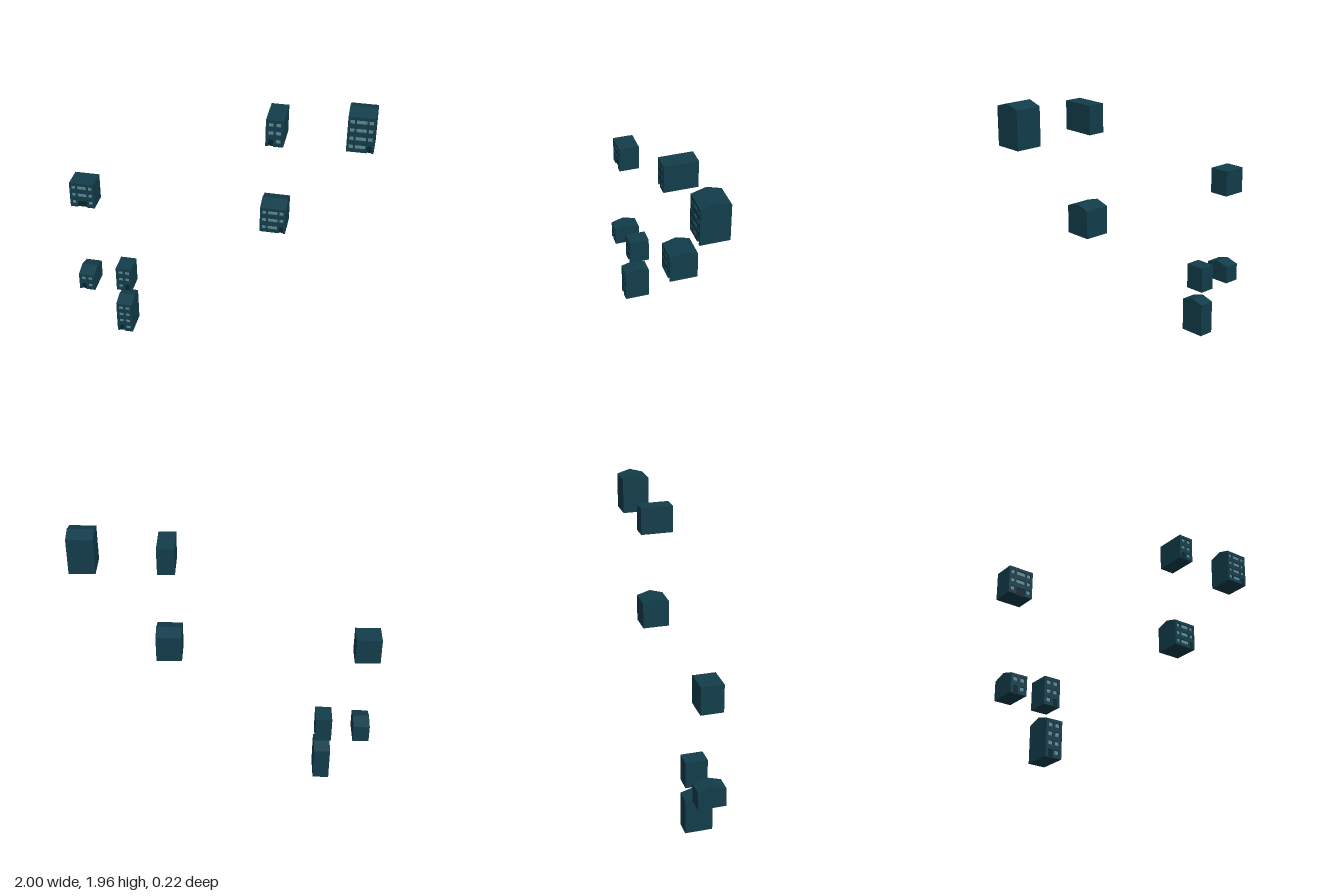
import * as THREE from 'three';

const wallMat = new THREE.MeshStandardMaterial({ color: 0x123d4b });
const glassMat = new THREE.MeshStandardMaterial({ color: 0x628c96 });
const doorMat = new THREE.MeshStandardMaterial({ color: 0x08232c });

const BACK = -0.11, STOREY = 0.058, RISE = 0.027, RECESS = 0.01;
const WIN_Y = 0.036, WIN_H = 0.027, DOOR_H = 0.049;

// Window columns as [centre x, width]
const NARROW = { width: 0.112, cols: [[-0.0235, 0.031], [0.0235, 0.031]] };
const WIDE = { width: 0.169, cols: [[-0.057, 0.027], [0, 0.063], [0.057, 0.027]] };

// x centre, base height, front z, storeys, gabled roof, column of the door
const HOUSES = [
  { name: 'tallWideHouse', type: WIDE, x: 0.915, y: 1.688, front: 0.074, storeys: 4, gable: true, door: 2 },
  { name: 'deepFlatHouse', type: NARROW, x: 0.391, y: 1.688, front: 0.11, storeys: 3, gable: false, door: 0 },
  { name: 'wideGableHouse', type: WIDE, x: 0.393, y: 1.018, front: 0.074, storeys: 3, gable: true, door: 2 },
  { name: 'wideFlatHouse', type: WIDE, x: -0.915, y: 1.018, front: 0.036, storeys: 3, gable: false, door: 1 },
  { name: 'smallGableHouse', type: NARROW, x: -0.916, y: 0.343, front: 0.074, storeys: 2, gable: true, door: 0 },
  { name: 'narrowFlatHouse', type: NARROW, x: -0.655, y: 0.343, front: 0.036, storeys: 3, gable: false, door: 1 },
  { name: 'tallNarrowHouse', type: NARROW, x: -0.655, y: 0, front: 0.074, storeys: 4, gable: true, door: 0 },
];

function addMesh(group, name, geometry, material, x = 0, y = 0, z = 0) {
  const mesh = new THREE.Mesh(geometry, material);
  mesh.name = name;
  mesh.position.set(x, y, z);
  group.add(mesh);
}

function polygon(points) {
  return new THREE.Shape(points.map(([x, y]) => new THREE.Vector2(x, y)));
}

function createHouse({ name, type, x, y, front, storeys, gable, door }) {
  const house = new THREE.Group();
  house.name = name;
  house.position.set(x, y, 0);
  const { width, cols } = type;
  const eave = storeys * STOREY + 0.01;
  const inner = front - RECESS;

  // Body with roof: side profile (drawn in -z, y) extruded across the width
  const profile = [[-inner, 0], [-BACK, 0], [-BACK, eave]];
  if (gable) profile.push([-(front + BACK) / 2, eave + RISE]);
  profile.push([-front, eave], [-inner, eave]);
  const body = new THREE.ExtrudeGeometry(polygon(profile), { depth: width, bevelEnabled: false });
  body.translate(0, 0, -width / 2).rotateY(Math.PI / 2);
  addMesh(house, 'bodyAndRoof', body, wallMat);

  // Front wall: notched at the door, pierced by the windows
  const [doorX, doorW] = cols[door];
  const d0 = doorX - doorW / 2, d1 = doorX + doorW / 2, half = width / 2;
  const facade = polygon([
    [-half, 0], [d0, 0], [d0, DOOR_H], [d1, DOOR_H], [d1, 0],
    [half, 0], [half, eave], [-half, eave],
  ]);
  addMesh(house, 'door', new THREE.PlaneGeometry(doorW, DOOR_H), doorMat, doorX, DOOR_H / 2, inner + 0.001);

  for (let row = 0; row < storeys; row++) {
    cols.forEach(([cx, w], col) => {
      if (row === 0 && col === door) return;
      const cy = WIN_Y + row * (STOREY - 0.001);
      const l = cx - w / 2, r = cx + w / 2, b = cy - WIN_H / 2, t = cy + WIN_H / 2;
      facade.holes.push(polygon([[l, b], [l, t], [r, t], [r, b]]));
      addMesh(house, 'window', new THREE.PlaneGeometry(w, WIN_H), glassMat, cx, cy, inner + 0.001);
    });
  }
  addMesh(house, 'frontWall',
    new THREE.ExtrudeGeometry(facade, { depth: RECESS, bevelEnabled: false }), wallMat, 0, 0, inner);
  return house;
}

export function createModel() {
  const model = new THREE.Group();
  model.name = 'houses';
  HOUSES.forEach((spec) => model.add(createHouse(spec)));
  return model;
}
